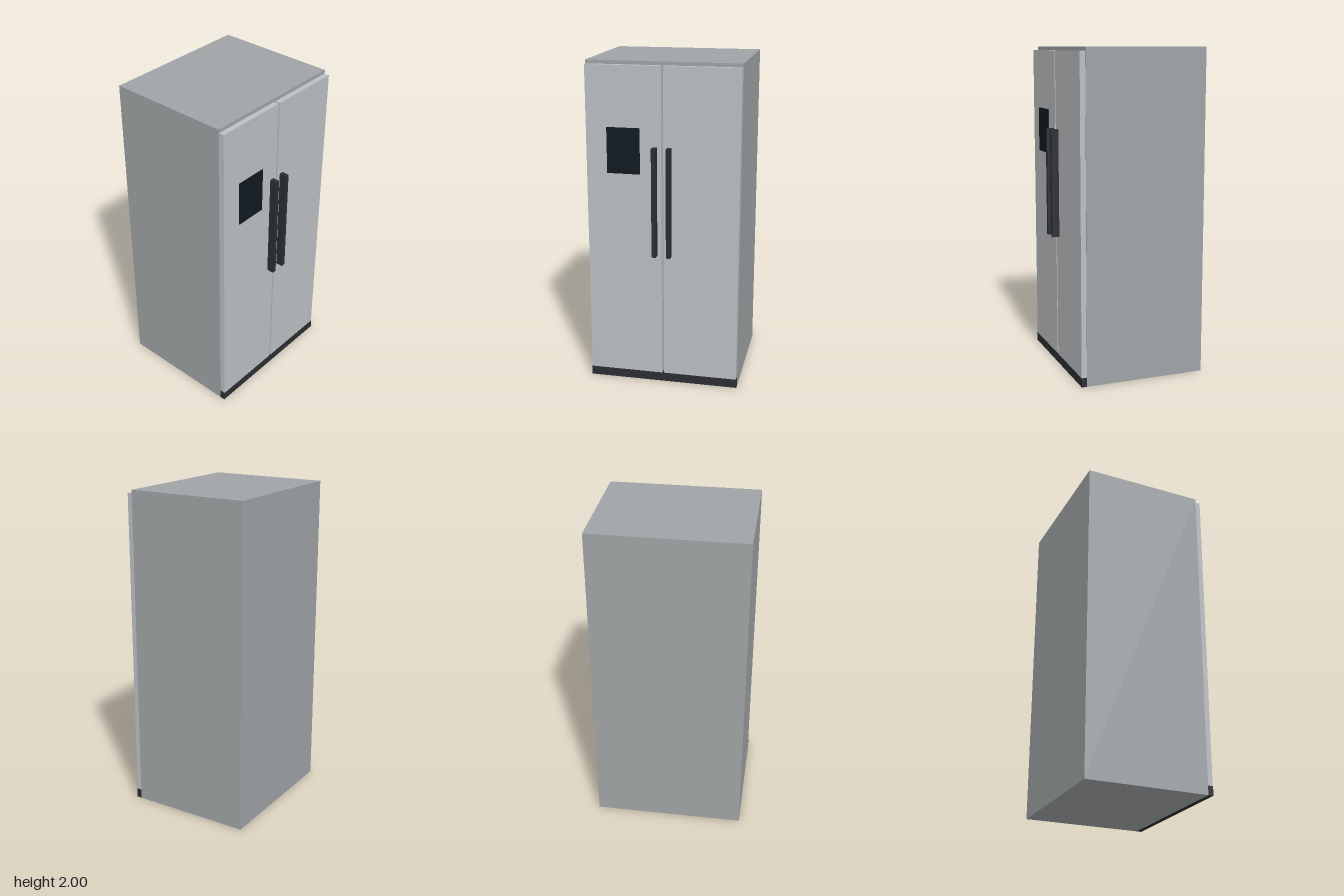
import * as THREE from 'three';

const material = (color) => new THREE.MeshStandardMaterial({ color });

// Box given by its minimum and maximum corners
function block(name, [x0, y0, z0], [x1, y1, z1], mat) {
  const mesh = new THREE.Mesh(new THREE.BoxGeometry(x1 - x0, y1 - y0, z1 - z0), mat);
  mesh.position.set((x0 + x1) / 2, (y0 + y1) / 2, (z0 + z1) / 2);
  mesh.name = name;
  return mesh;
}

export function createModel() {
  const group = new THREE.Group();
  group.name = 'refrigerator';

  const cabinetGrey = material(0xa0a4a6);
  const doorGrey = material(0xbcc0c3);
  const darkTrim = material(0x2b2e32);
  const panelBlack = material(0x111a20);

  const halfWidth = 0.466;
  const back = -0.417;
  const cabinetFront = 0.338;
  const doorFront = 0.371;
  const plinthTop = 0.056;

  // Cabinet and the dark plinth under the doors
  group.add(block('cabinet', [-halfWidth, 0, back], [halfWidth, 2, cabinetFront], cabinetGrey));
  group.add(block('plinth', [-halfWidth, 0, cabinetFront], [halfWidth, plinthTop, doorFront], darkTrim));

  // Two tall doors with a narrow gap between them
  group.add(block('rightDoor', [-0.462, plinthTop, cabinetFront], [-0.006, 1.978, doorFront], doorGrey));
  group.add(block('leftDoor', [0.006, plinthTop, cabinetFront], [0.462, 1.978, doorFront], doorGrey));

  // Vertical bar handles beside the gap
  group.add(block('rightHandle', [-0.058, 0.836, doorFront], [-0.032, 1.504, 0.416], darkTrim));
  group.add(block('leftHandle', [0.03, 0.836, doorFront], [0.056, 1.504, 0.416], darkTrim));

  // Water and ice dispenser panel
  group.add(block('dispenserPanel', [-0.335, 1.337, doorFront], [-0.135, 1.614, 0.377], panelBlack));

  return group;
}
